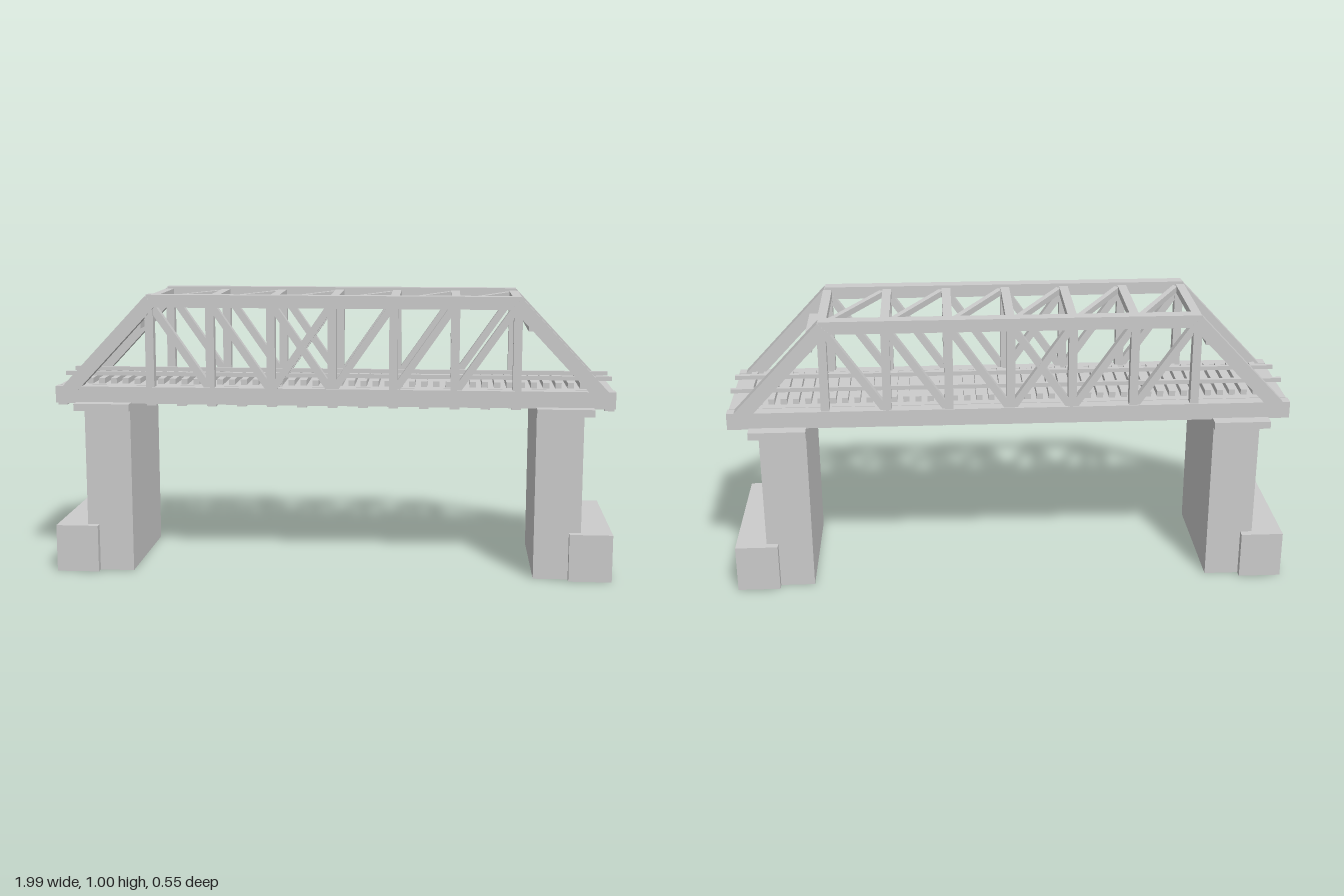
import * as THREE from 'three';

const material = new THREE.MeshStandardMaterial({ color: 0xcccccc, flatShading: true });

export function createModel() {
  const bridge = new THREE.Group();
  bridge.name = 'trussBridge';

  // Box given by its minimum and maximum on each axis
  function block(name, x0, x1, y0, y1, z0, z1) {
    const mesh = new THREE.Mesh(new THREE.BoxGeometry(x1 - x0, y1 - y0, z1 - z0), material);
    mesh.position.set((x0 + x1) / 2, (y0 + y1) / 2, (z0 + z1) / 2);
    mesh.name = name;
    bridge.add(mesh);
    return mesh;
  }

  // Sloping bar in the plane of a truss
  function bar(name, xa, ya, xb, yb, thick, z, depth) {
    const length = Math.hypot(xb - xa, yb - ya);
    const mesh = new THREE.Mesh(new THREE.BoxGeometry(length, thick, depth), material);
    mesh.position.set((xa + xb) / 2, (ya + yb) / 2, z);
    mesh.rotation.z = Math.atan2(yb - ya, xb - xa);
    mesh.name = name;
    bridge.add(mesh);
  }

  const panel = 0.217;
  const deckY = 0.67;
  const topY = 0.96;

  // Piers with caps and outer footings
  for (const s of [-1, 1]) {
    const span = (a, b) => (s > 0 ? [a, b] : [-b, -a]);
    block('pier', ...span(0.72, 0.885), 0, 0.59, -0.245, 0.245);
    block('pierCap', ...span(0.72, 0.92), 0.588, 0.614, -0.265, 0.265);
    block('footing', ...span(0.843, 0.995), 0, 0.17, -0.273, 0.273);
  }

  // Deck, floor beams, ties and rails
  block('deck', -0.99, 0.99, 0.64, 0.67, -0.172, 0.172);
  for (let i = -9; i <= 9; i++) {
    const x = (i * panel) / 2;
    block('floorBeam', x - 0.017, x + 0.017, 0.6, 0.625, -0.197, 0.197);
  }
  for (let i = 0; i < 44; i++) {
    const x = (i - 21.5) * 0.0433;
    block('tie', x - 0.011, x + 0.011, 0.668, 0.69, -0.14, 0.14);
  }
  for (const z of [-0.067, 0.067]) {
    block('rail', -0.995, 0.995, 0.69, 0.705, z - 0.007, z + 0.007);
  }

  // Side trusses
  for (const s of [-1, 1]) {
    const z = s * 0.198;
    block('bottomChord', -0.995, 0.995, 0.61, deckY, z - 0.022, z + 0.022);
    block('topChord', -0.66, 0.66, 0.955, 1.0, z - 0.022, z + 0.022);
    for (const e of [-1, 1]) {
      bar('endPost', e * 0.965, 0.638, e * 0.645, 0.978, 0.05, z, 0.046);
    }
    for (let i = -3; i <= 3; i++) {
      block('post', i * panel - 0.015, i * panel + 0.015, deckY - 0.01, topY, z - 0.018, z + 0.018);
    }
    // Diagonals lean towards the middle, with one crossed panel
    for (let i = -3; i < 3; i++) {
      const a = i * panel + 0.008;
      const b = (i + 1) * panel - 0.008;
      if (i < 0) bar('diagonal', a, topY, b, deckY, 0.026, z, 0.03);
      if (i >= -1) bar('diagonal', a, deckY, b, topY, 0.026, z, 0.028);
    }
  }

  // Top struts and lateral bracing
  for (let i = -3; i <= 3; i++) {
    const x = i * panel;
    block('topStrut', x - 0.016, x + 0.016, 0.964, 0.991, -0.178, 0.178);
    if (i === 3) continue;
    const run = panel - 0.03;
    const brace = block('topBrace', -0.01, 0.01, 0.966, 0.988, -0.19, 0.19);
    brace.position.x = x + panel / 2;
    brace.rotation.y = -Math.atan2(run, 0.345);
  }

  // Portal struts between the end posts
  for (const s of [-1, 1]) {
    block('portalStrut', s * 0.705 - 0.016, s * 0.705 + 0.016, 0.876, 0.902, -0.178, 0.178);
  }

  return bridge;
}
